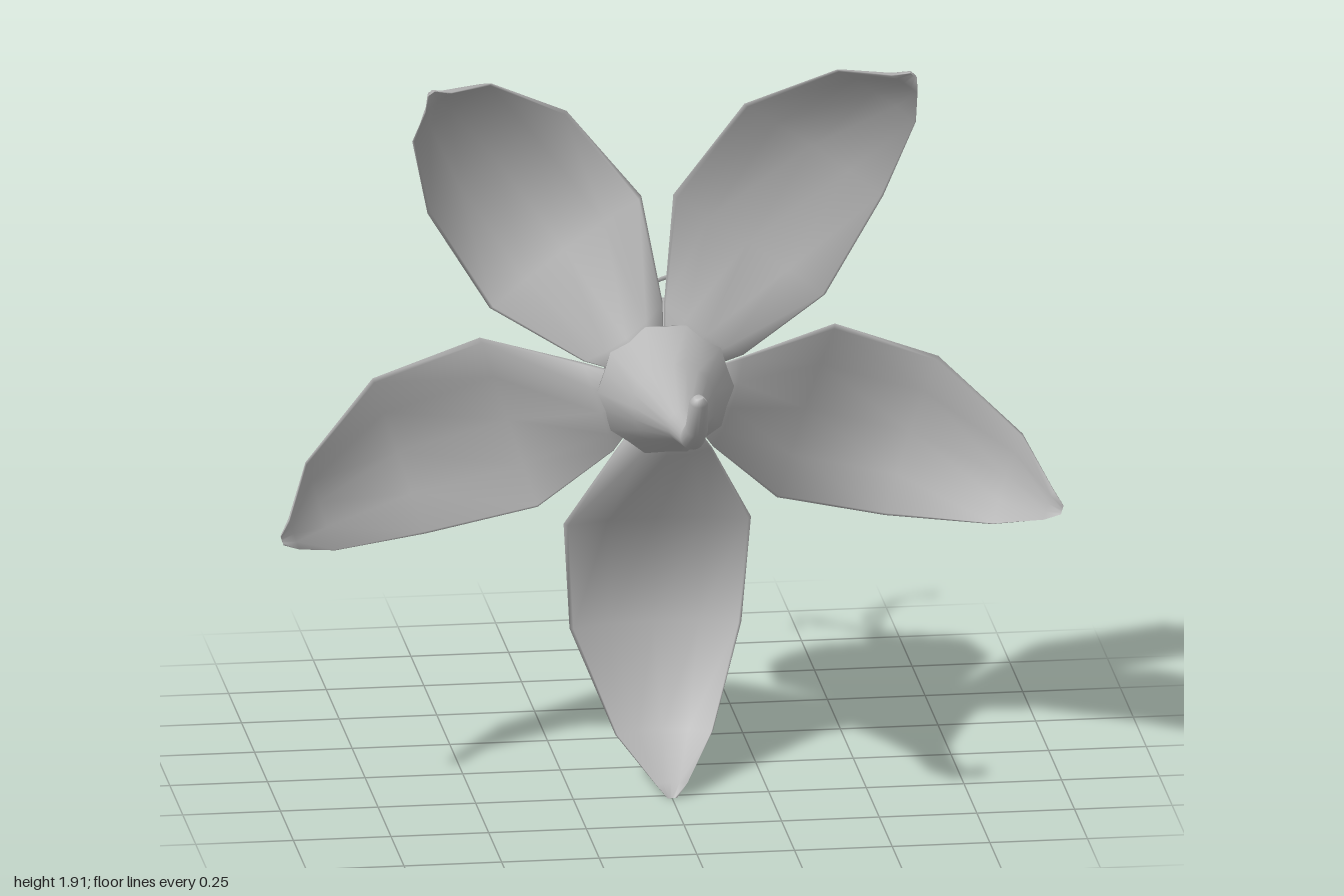
import * as THREE from 'three';

// Skin a list of equal-length closed rings, closing both ends with a fan.
function loft(rings) {
  const n = rings[0].length, pos = [], idx = [];
  rings.forEach(ring => ring.forEach(p => pos.push(p.x, p.y, p.z)));
  for (let i = 0; i < rings.length - 1; i++) {
    for (let j = 0; j < n; j++) {
      const k = (j + 1) % n, a = i * n, b = a + n;
      idx.push(a + j, a + k, b + k, a + j, b + k, b + j);
    }
  }
  const last = (rings.length - 1) * n;
  for (let j = 1; j < n - 1; j++) {
    idx.push(0, j + 1, j, last, last + j, last + j + 1);
  }
  const geo = new THREE.BufferGeometry();
  geo.setAttribute('position', new THREE.Float32BufferAttribute(pos, 3));
  geo.setIndex(idx);
  geo.computeVertexNormals();
  return geo;
}

// Petal along +x: shallow cup on the front, two ridges and a groove on the back.
function petalGeometry() {
  // radius, half width, z of the rim, z of the back ridges, z of the front centre
  const sections = [
    [0.03, 0.02, 0.11, 0.08, 0.12],
    [0.175, 0.125, 0.11, 0.04, 0.16],
    [0.40, 0.24, 0.0, -0.15, -0.035],
    [0.69, 0.22, -0.04, -0.15, -0.085],
    [0.925, 0.125, 0.125, 0.035, 0.085],
    [1.015, 0.042, 0.262, 0.195, 0.25],
    [1.05, 0.012, 0.275, 0.25, 0.272],
  ];
  return loft(sections.map(([r, w, rim, back, front]) => {
    const at = (f, z) => new THREE.Vector3(r, w * f, z);
    const mix = t => back + (rim - back) * t;
    const mid = front + (rim - front) * 0.25;
    return [
      at(1, mix(0.9)), at(0.96, rim), at(0.52, mid), at(0, front), at(-0.52, mid), at(-0.96, rim),
      at(-1, mix(0.9)), at(-0.8, mix(0.4)), at(-0.48, back), at(-0.2, mix(0.04)), at(0, mix(0.17)),
      at(0.2, mix(0.04)), at(0.48, back), at(0.8, mix(0.4)),
    ];
  }));
}

// Front spur: a tapering horn that curls upward, with a scalloped rim.
function spurGeometry() {
  // y, z, radius
  const path = [
    [0, 0.135, 0.168], [0, 0.15, 0.17], [0.005, 0.3, 0.108], [0.012, 0.5, 0.042],
    [0.035, 0.67, 0.032], [0.085, 0.75, 0.029], [0.165, 0.785, 0.024], [0.178, 0.79, 0.012],
  ];
  const sides = 20, side = new THREE.Vector3(1, 0, 0);
  return loft(path.map(([y, z, r], i) => {
    const a = path[Math.max(i - 1, 0)], b = path[Math.min(i + 1, path.length - 1)];
    const up = new THREE.Vector3(0, b[0] - a[0], b[1] - a[1]).normalize().cross(side);
    return Array.from({ length: sides }, (_, j) => {
      const t = j / sides * Math.PI * 2;
      const rr = r * (i < 2 ? 1 + 0.03 * Math.cos(10 * t) : 1);
      return new THREE.Vector3(0, y, z)
        .addScaledVector(side, rr * Math.cos(t)).addScaledVector(up, rr * Math.sin(t));
    });
  }));
}

export function createModel() {
  const grey = new THREE.MeshStandardMaterial({ color: 0xb8b8b8 });
  grey.name = 'flowerGrey';

  const group = new THREE.Group();
  group.name = 'flower';
  const bloom = new THREE.Group();
  bloom.name = 'bloom';
  bloom.position.y = 1.055;
  group.add(bloom);

  const add = (name, geo) => {
    const mesh = new THREE.Mesh(geo, grey);
    mesh.name = name;
    bloom.add(mesh);
    return mesh;
  };

  // Five petals
  const petal = petalGeometry();
  for (let i = 0; i < 5; i++) {
    add('petal' + (i + 1), petal).rotation.z = -Math.PI / 2 + i * Math.PI * 2 / 5;
  }

  add('spur', spurGeometry());

  // Bulb behind the petals, ending in a flared collar
  const bulbProfile = [
    [0, -0.1], [0.03, -0.09], [0.08, 0], [0.122, 0.09], [0.138, 0.17], [0.125, 0.24],
    [0.083, 0.33], [0.047, 0.4], [0.031, 0.425], [0.034, 0.44], [0.043, 0.475],
    [0.03, 0.475], [0, 0.45],
  ].map(p => new THREE.Vector2(...p));
  const bulb = add('bulb', new THREE.LatheGeometry(bulbProfile, 20).rotateX(-Math.PI / 2));
  bulb.position.x = 0.016;

  // Curling stamens with small tips
  const stamens = [
    [[0.015, 0, -0.45], [0.02, 0, -0.58], [0.07, 0, -0.72], [0.14, 0, -0.795], [0.19, 0, -0.8]],
    [[0.01, 0, -0.45], [-0.04, -0.02, -0.55], [-0.075, -0.08, -0.66], [-0.075, -0.14, -0.715], [-0.05, -0.195, -0.73]],
    [[0.015, 0, -0.45], [-0.01, 0.01, -0.53], [-0.025, 0.035, -0.61], [-0.01, 0.07, -0.67], [0.01, 0.115, -0.69]],
    [[0.01, 0, -0.45], [-0.04, 0.005, -0.53], [-0.12, 0.025, -0.572], [-0.2, 0.055, -0.565], [-0.24, 0.075, -0.535]],
  ];
  stamens.forEach((pts, i) => {
    const curve = new THREE.CatmullRomCurve3(pts.map(p => new THREE.Vector3(...p)));
    add('stamen' + (i + 1), new THREE.TubeGeometry(curve, 20, 0.006, 6));
    const tip = add('stamenTip' + (i + 1), new THREE.SphereGeometry(0.01, 10, 8));
    tip.scale.y = 2.2;
    tip.position.copy(curve.getPoint(0.97));
    tip.quaternion.setFromUnitVectors(new THREE.Vector3(0, 1, 0), curve.getTangent(1));
  });

  return group;
}
